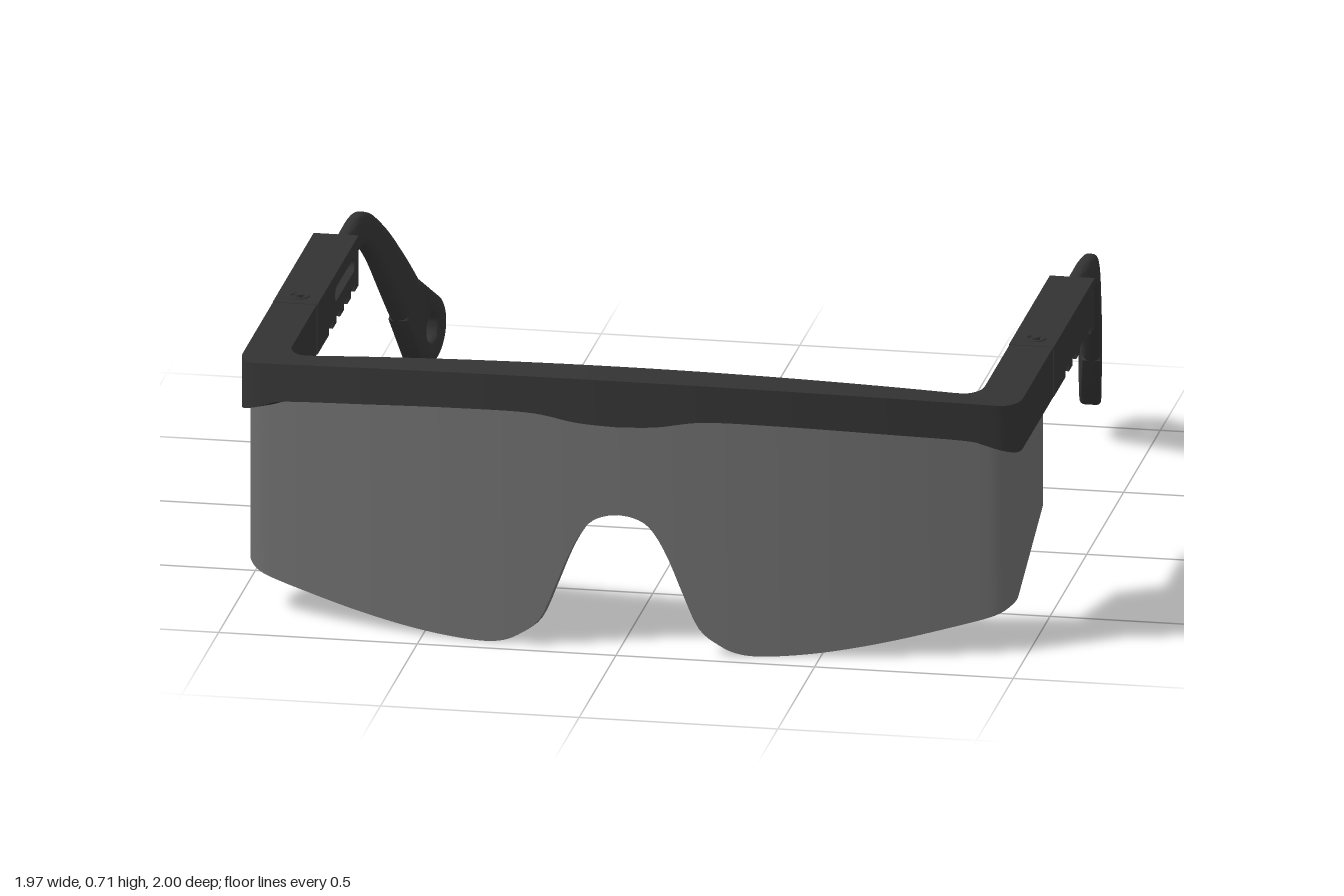
import * as THREE from 'three';
import { toCreasedNormals } from 'three/addons/utils/BufferGeometryUtils.js';

const dark = new THREE.MeshStandardMaterial({ color: 0x333333 });
const tint = new THREE.MeshStandardMaterial({ color: 0x6b6b6b });

function mesh(name, geometry, material = dark) {
  const m = new THREE.Mesh(geometry, material);
  m.name = name;
  return m;
}

// Smooth height lookup through a few [x, y] points
function heightCurve(points) {
  const pts = new THREE.SplineCurve(points.map((p) => new THREE.Vector2(...p))).getPoints(300);
  return (x) => {
    const i = pts.findIndex((p) => p.x >= x);
    if (i < 0) return pts[pts.length - 1].y;
    if (i === 0) return pts[0].y;
    const a = pts[i - 1], b = pts[i];
    return THREE.MathUtils.mapLinear(x, a.x, b.x, a.y, b.y);
  };
}

// Solid skin over equal-sized convex cross-sections, with capped ends
function loft(rings, crease = 0.6) {
  const n = rings[0].length, last = (rings.length - 1) * n, index = [];
  for (let i = 0; i < rings.length - 1; i++) {
    for (let j = 0; j < n; j++) {
      const a = i * n + j, b = i * n + (j + 1) % n;
      index.push(a, b, b + n, a, b + n, a + n);
    }
  }
  for (let j = 1; j < n - 1; j++) {
    index.push(0, j + 1, j, last, last + j, last + j + 1);
  }
  // Turn the faces outward if the enclosed volume comes out negative
  const v = rings.flat().map((p) => new THREE.Vector3(...p));
  let volume = 0;
  for (let k = 0; k < index.length; k += 3) {
    volume += v[index[k]].dot(v[index[k + 1]].clone().cross(v[index[k + 2]]));
  }
  if (volume < 0) index.reverse();
  const g = new THREE.BufferGeometry();
  g.setAttribute('position', new THREE.Float32BufferAttribute(rings.flat(2), 3));
  g.setIndex(index);
  return toCreasedNormals(g, crease);
}

// Plan of the wraparound: bowed front, rounded corner, straight side; [x, z] pairs
const bow = (x, zc) => zc - 0.175 * x * x;
function plan(w, zc, zEnd, r = 0.06) {
  const half = [], xc = w - r, zCorner = bow(w, zc);
  for (let i = 0; i < 72; i++) half.push([(xc * i) / 72, bow((xc * i) / 72, zc)]);
  const corner = new THREE.QuadraticBezierCurve(
    new THREE.Vector2(xc, bow(xc, zc)), new THREE.Vector2(w, zCorner), new THREE.Vector2(w, zCorner - r));
  corner.getPoints(8).forEach((p) => half.push([p.x, p.y]));
  for (let i = 1; i <= 6; i++) half.push([w, THREE.MathUtils.lerp(zCorner - r, zEnd, i / 6)]);
  return [...half.slice(1).reverse().map(([x, z]) => [-x, z]), ...half];
}

// Wall standing between an outer and an inner plan
function wall(outer, inner, top, bottom) {
  return loft(outer.map(([x, z], i) => {
    const [u, v] = inner[i], t = top(Math.abs(x), z), b = bottom(Math.abs(x), z);
    return [[x, t, z], [x, b, z], [u, b, v], [u, t, v]];
  }));
}

const browTop = (x) => 0.655 + 0.06 * Math.max(0, 1 - (x / 0.95) ** 2);
const browBottom = heightCurve([[0, 0.595], [0.1, 0.6], [0.22, 0.617], [0.4, 0.612],
  [0.6, 0.597], [0.85, 0.57], [0.92, 0.548], [0.978, 0.525]]);
const lensEdge = heightCurve([[0, 0.355], [0.035, 0.35], [0.07, 0.333], [0.1, 0.295], [0.13, 0.235],
  [0.16, 0.16], [0.2, 0.07], [0.25, 0.028], [0.3, 0.006], [0.37, 0.001], [0.5, 0.012],
  [0.65, 0.037], [0.8, 0.07], [0.92, 0.1], [0.965, 0.125]]);

// Lens lower edge: shaped at the front, rising towards the back on the sides
function lensBottom(x, z) {
  return lensEdge(x) + 0.135 * Math.max(0, (0.76 - z) / 0.35);
}

// Flange around the nose notch, deepest at the bridge
function noseFlange() {
  const rings = [], e = 0.002;
  for (let i = 0; i <= 60; i++) {
    const x = -0.205 + (0.41 * i) / 60, y = lensEdge(Math.abs(x));
    const slope = (lensEdge(Math.abs(x + e)) - lensEdge(Math.abs(x - e))) / (2 * e);
    const n = new THREE.Vector2(-slope, 1).normalize().multiplyScalar(0.022);
    const front = bow(x, 0.955);
    const back = 0.84 + 0.07 * THREE.MathUtils.smoothstep(Math.abs(x), 0.07, 0.21);
    rings.push([[x, y, front], [x, y, back], [x + n.x, y + n.y, back], [x + n.x, y + n.y, front]]);
  }
  return loft(rings);
}

// Side profiles are drawn as (-z, y) and extruded across x
function sideExtrude(shape, x, options) {
  return new THREE.ExtrudeGeometry(shape, { bevelEnabled: false, curveSegments: 16, ...options })
    .rotateY(Math.PI / 2).translate(x, 0, 0);
}

// Arm holder with gripping teeth underneath
function holderShape() {
  const s = new THREE.Shape();
  s.moveTo(-0.356, 0.655);
  s.lineTo(-0.356, 0.525);
  s.lineTo(-0.2, 0.525);
  s.lineTo(-0.2, 0.542);
  for (let i = 0; i < 4; i++) {
    const a = -0.15 + i * 0.1;
    s.lineTo(a, 0.542);
    s.lineTo(a, 0.525);
    s.lineTo(a + 0.05, 0.525);
    if (i < 3) s.lineTo(a + 0.05, 0.542);
  }
  s.lineTo(0.2, 0.655);
  return s;
}

// Inward sweep of the temple towards its tip
function bend(a) {
  const t = Math.max(0, a - 0.45);
  return 0.92 - (0.22 * t * t) / (t + 0.12);
}

function templeArm() {
  const path = new THREE.SplineCurve([[0.18, 0.592], [0.3, 0.592], [0.4, 0.591], [0.5, 0.572],
    [0.6, 0.503], [0.7, 0.402], [0.802, 0.2885]].map((p) => new THREE.Vector2(...p)));
  const rings = [];
  for (let i = 0; i <= 40; i++) {
    const p = path.getPoint(i / 40), t = path.getTangent(i / 40), ring = [];
    const grow = THREE.MathUtils.smoothstep(p.x, 0.5, 0.82);
    for (let j = 0; j < 20; j++) {
      const q = (j / 20) * Math.PI * 2, c = Math.cos(q), s = Math.sin(q);
      const h = (0.043 + 0.021 * grow) * Math.sign(s) * Math.abs(s) ** 0.6;
      const w = (0.021 + 0.006 * grow) * Math.sign(c) * Math.abs(c) ** 0.6;
      const a = p.x - t.y * h;
      ring.push([bend(a) + w, p.y + t.x * h, -a]);
    }
    rings.push(ring);
  }
  return loft(rings, 0.9);
}

// Rounded temple end with a cord hole
function templeTip() {
  const ca = 0.91, cy = 0.182, s = new THREE.Shape(), deg = Math.PI / 180;
  s.moveTo(ca - 0.17 * 0.72 - 0.06 * 0.69, cy + 0.17 * 0.69 - 0.06 * 0.72);
  s.lineTo(ca - 0.17 * 0.72 + 0.06 * 0.69, cy + 0.17 * 0.69 + 0.06 * 0.72);
  s.absarc(ca, cy, 0.09, 55 * deg, -143 * deg, true);
  const hole = new THREE.Path();
  hole.absarc(ca, cy + 0.008, 0.036, 0, Math.PI * 2, false);
  s.holes.push(hole);
  const g = sideExtrude(s, -0.015, { depth: 0.03, bevelEnabled: true, bevelThickness: 0.012,
    bevelSize: 0.012, bevelOffset: -0.012, bevelSegments: 4 });
  const pos = g.attributes.position;
  for (let i = 0; i < pos.count; i++) pos.setX(i, pos.getX(i) + bend(-pos.getZ(i)));
  return toCreasedNormals(g, 0.7);
}

function sideArm() {
  const arm = new THREE.Group();
  arm.add(mesh('holderOuter', sideExtrude(holderShape(), 0.9, { depth: 0.083 })));
  // Inner face carries the adjustment slot
  const slotted = holderShape(), slot = new THREE.Path();
  slot.absarc(-0.1, 0.6, 0.018, Math.PI / 2, Math.PI * 1.5, false);
  slot.absarc(0.13, 0.6, 0.018, -Math.PI / 2, Math.PI / 2, false);
  slotted.holes.push(slot);
  arm.add(mesh('holderInner', sideExtrude(slotted, 0.87, { depth: 0.03 })));
  // Hinge screw
  const ring = mesh('hingeRing', new THREE.TorusGeometry(0.023, 0.004, 8, 28).rotateX(Math.PI / 2));
  ring.position.set(0.927, 0.655, 0.3);
  const pin = mesh('hingePin', new THREE.CylinderGeometry(0.011, 0.011, 0.012, 20));
  pin.position.set(0.927, 0.655, 0.3);
  arm.add(ring, pin, mesh('temple', templeArm()), mesh('templeTip', templeTip()));
  return arm;
}

export function createModel() {
  const model = new THREE.Group();
  model.name = 'safetyGlasses';
  model.add(mesh('browFrame', wall(plan(0.982, 1, 0.36), plan(0.872, 0.885, 0.36), browTop, browBottom)));
  model.add(mesh('lens', wall(plan(0.966, 0.966, 0.41), plan(0.944, 0.944, 0.41),
    (x) => browBottom(x) + 0.025, lensBottom), tint));
  model.add(mesh('noseFlange', noseFlange(), tint));
  const left = sideArm(), right = left.clone();
  left.name = 'leftArm';
  right.name = 'rightArm';
  right.scale.x = -1;
  model.add(left, right);
  return model;
}
